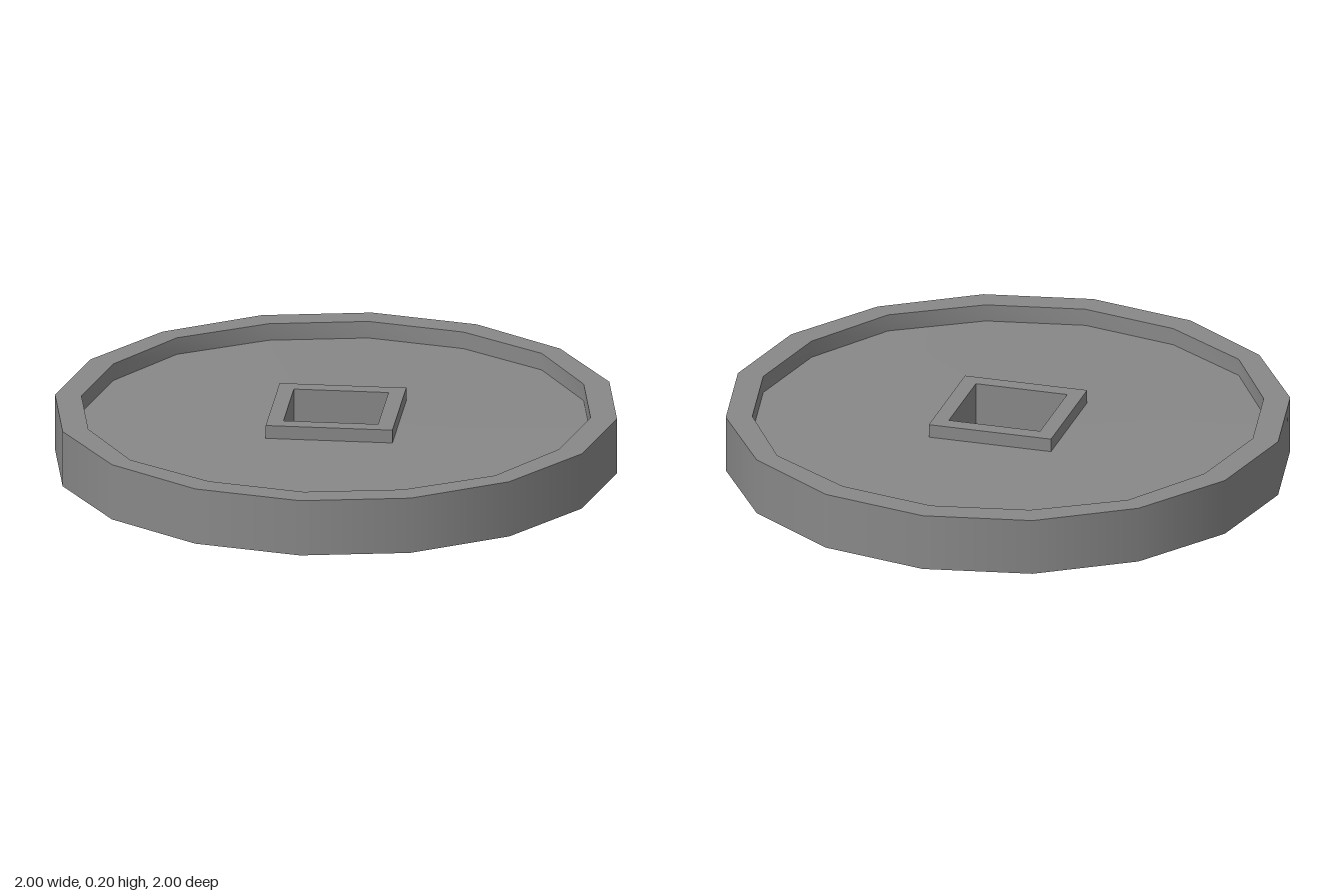
import * as THREE from 'three';

const SIDES = 16;
const TURN = 0.018; // slight turn of the round loops
const HALF = 0.1025; // half the thickness
const EDGE_Y = HALF - 0.062; // face height beside the rim
const MID_Y = HALF - 0.048; // face height beside the square collar

// Cross-section loops, all with the same number of points;
// the round one can reach a little further on its diagonals
const circle = (r, diagonal = r) => (k) => {
  const a = (k / SIDES) * Math.PI * 2 + TURN;
  const d = k % 4 === 2 ? diagonal : r;
  return [d * Math.cos(a), d * Math.sin(a)];
};
const square = (h) => (k) => {
  const a = (k / SIDES) * Math.PI * 2;
  const c = Math.cos(a), s = Math.sin(a);
  const r = h / Math.max(Math.abs(c), Math.abs(s));
  return [r * c, r * s];
};

// A closed band of quads from loop a at height ya to loop b at height yb
function band(a, ya, b, yb, flat) {
  const pos = [], idx = [];
  for (let k = 0; k < SIDES; k++) {
    const [ax, az] = a(k), [bx, bz] = b(k);
    pos.push(ax, ya, az, bx, yb, bz);
    const p = 2 * k, q = 2 * ((k + 1) % SIDES);
    idx.push(p, q, p + 1, q, q + 1, p + 1);
  }
  let geo = new THREE.BufferGeometry();
  geo.setAttribute('position', new THREE.Float32BufferAttribute(pos, 3));
  geo.setIndex(idx);
  if (flat) geo = geo.toNonIndexed();
  geo.computeVertexNormals();
  return geo;
}

export function createModel() {
  const model = new THREE.Group();
  model.name = 'squareHoledDisc';
  const material = new THREE.MeshStandardMaterial({ color: 0x888888 });
  const add = (name, geo) => {
    const mesh = new THREE.Mesh(geo, material);
    mesh.name = name;
    mesh.position.y = HALF;
    model.add(mesh);
  };

  const outer = circle(1), inner = circle(0.906, 0.918);
  const collar = square(0.225), hole = square(0.168);

  // Through surfaces
  add('outerWall', new THREE.CylinderGeometry(1, 1, 2 * HALF, SIDES, 1, true, -TURN));
  add('holeWall', band(hole, -HALF, hole, HALF, true));

  // Both faces: each band runs from the centre out on top, reversed below
  const faceBands = [
    ['collarTop', hole, HALF, collar, HALF, true],
    ['collarSide', collar, HALF, collar, MID_Y, true],
    ['recessedFace', collar, MID_Y, inner, EDGE_Y, false],
    ['rimInnerWall', inner, EDGE_Y, inner, HALF, false],
    ['rimTop', inner, HALF, outer, HALF, false],
  ];
  for (const [name, a, ya, b, yb, flat] of faceBands) {
    add(name + 'Upper', band(a, ya, b, yb, flat));
    add(name + 'Lower', band(b, -yb, a, -ya, flat));
  }
  return model;
}
